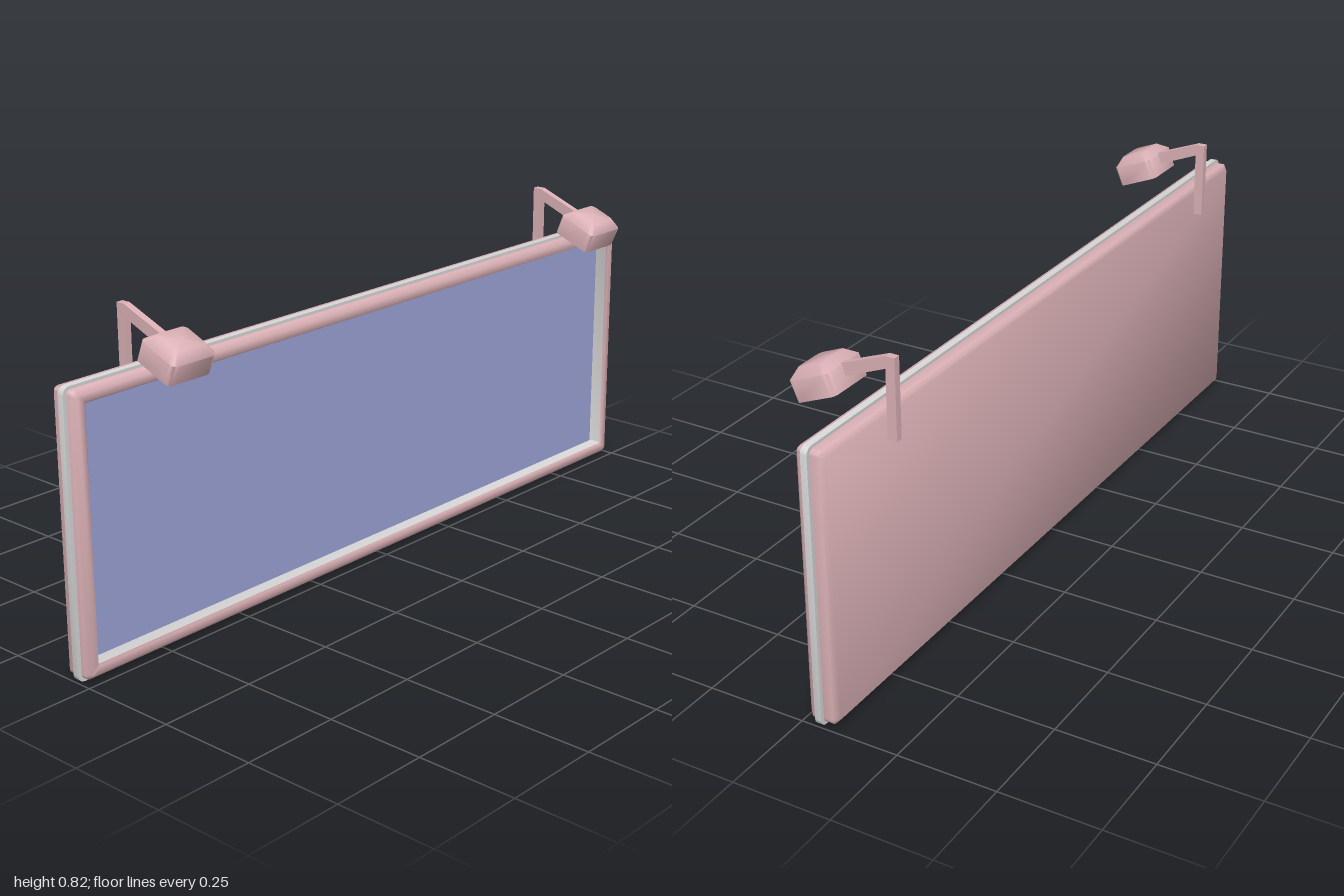
import * as THREE from 'three';
import { toCreasedNormals } from 'three/addons/utils/BufferGeometryUtils.js';

const pink = new THREE.MeshStandardMaterial({ name: 'dusty pink', color: 0xdbb1b6 });
const blue = new THREE.MeshStandardMaterial({ name: 'periwinkle panel', color: 0x9ba2d6 });
const grey = new THREE.MeshStandardMaterial({ name: 'light grey trim', color: 0xd8d8d8 });

const CORNER_STEPS = 3;
const MID_Y = 0.348;

// Rounded rectangle ring, counter-clockwise seen from +z
function ring([hx, hy, r, z]) {
  const pts = [];
  [[1, 1], [-1, 1], [-1, -1], [1, -1]].forEach(([sx, sy], q) => {
    for (let i = 0; i <= CORNER_STEPS; i++) {
      const a = (q + i / CORNER_STEPS) * Math.PI / 2;
      pts.push([sx * (hx - r) + r * Math.cos(a), sy * (hy - r) + r * Math.sin(a), z]);
    }
  });
  return pts;
}

// Skin a run of rings [halfWidth, halfHeight, cornerRadius, z], optionally capped
function loft(sections, { start = false, end = false, crease = 0.9 } = {}) {
  const rings = sections.map(ring);
  const n = rings[0].length;
  const pos = [];
  const tri = (a, b, c) => pos.push(...a, ...b, ...c);
  for (let k = 0; k < rings.length - 1; k++) {
    const a = rings[k], b = rings[k + 1];
    for (let i = 0; i < n; i++) {
      const j = (i + 1) % n;
      tri(a[i], a[j], b[j]);
      tri(a[i], b[j], b[i]);
    }
  }
  const first = rings[0], last = rings[rings.length - 1];
  for (let i = 0; i < n; i++) {
    const j = (i + 1) % n;
    if (start) tri([0, 0, first[0][2]], first[j], first[i]);
    if (end) tri([0, 0, last[0][2]], last[i], last[j]);
  }
  const g = new THREE.BufferGeometry();
  g.setAttribute('position', new THREE.Float32BufferAttribute(pos, 3));
  g.computeVertexNormals();
  return toCreasedNormals(g, crease);
}

function part(name, geometry, material, y = 0) {
  const mesh = new THREE.Mesh(geometry, material);
  mesh.name = name;
  mesh.position.y = y;
  return mesh;
}

function createLamp(x) {
  const lamp = new THREE.Group();
  lamp.name = x > 0 ? 'leftLamp' : 'rightLamp';
  lamp.position.x = x;

  // Bent bracket, drawn in (z, y) and extruded across x
  const profile = new THREE.Shape([
    [-0.12, 0.622], [-0.096, 0.622], [-0.096, 0.79], [0.01, 0.747],
    [0.02, 0.775], [-0.097, 0.82], [-0.12, 0.82],
  ].map(([z, y]) => new THREE.Vector2(z, y)));
  const bracket = new THREE.ExtrudeGeometry(profile, { depth: 0.018, bevelEnabled: false });
  bracket.translate(0, 0, -0.009).rotateY(-Math.PI / 2);
  lamp.add(part('lampBracket', bracket, pink));

  // Tilted head with a flat underside and softened top
  const head = part('lampHead', loft([
    [0.064, 0.0555, 0.012, 0],
    [0.065, 0.057, 0.014, 0.052],
    [0.044, 0.037, 0.012, 0.073],
  ], { start: true, end: true }), pink);
  head.position.set(0, 0.704, 0.0485);
  head.rotation.x = -1.183;
  lamp.add(head);
  return lamp;
}

export function createModel() {
  const model = new THREE.Group();
  model.name = 'billboard';

  // Case: chamfered back, sides, and front lip around the opening
  model.add(part('case', loft([
    [0.978, 0.329, 0.008, -0.088],
    [0.99, 0.341, 0.012, -0.077],
    [0.99, 0.341, 0.012, -0.023],
    [0.979, 0.33, 0.008, -0.012],
    [0.962, 0.313, 0.004, -0.012],
    [0.957, 0.308, 0.003, -0.016],
  ], { start: true }), pink, MID_Y));

  // Trim band around the edge
  model.add(part('trimBand', loft([
    [0.985, 0.336, 0.012, -0.053],
    [1, 0.348, 0.018, -0.053],
    [1, 0.348, 0.018, -0.036],
    [0.985, 0.336, 0.012, -0.036],
  ], { crease: 0.6 }), grey, MID_Y));

  // Inner walls of the recess
  model.add(part('recessWalls', loft([
    [0.957, 0.308, 0.003, -0.016],
    [0.957, 0.308, 0.003, -0.05],
  ], { crease: 0.6 }), grey, MID_Y));

  // Display panel
  const panel = part('displayPanel', new THREE.PlaneGeometry(1.914, 0.616), blue, MID_Y);
  panel.position.z = -0.05;
  model.add(panel);

  for (const side of [-1, 1]) model.add(createLamp(side * 0.758));
  return model;
}
